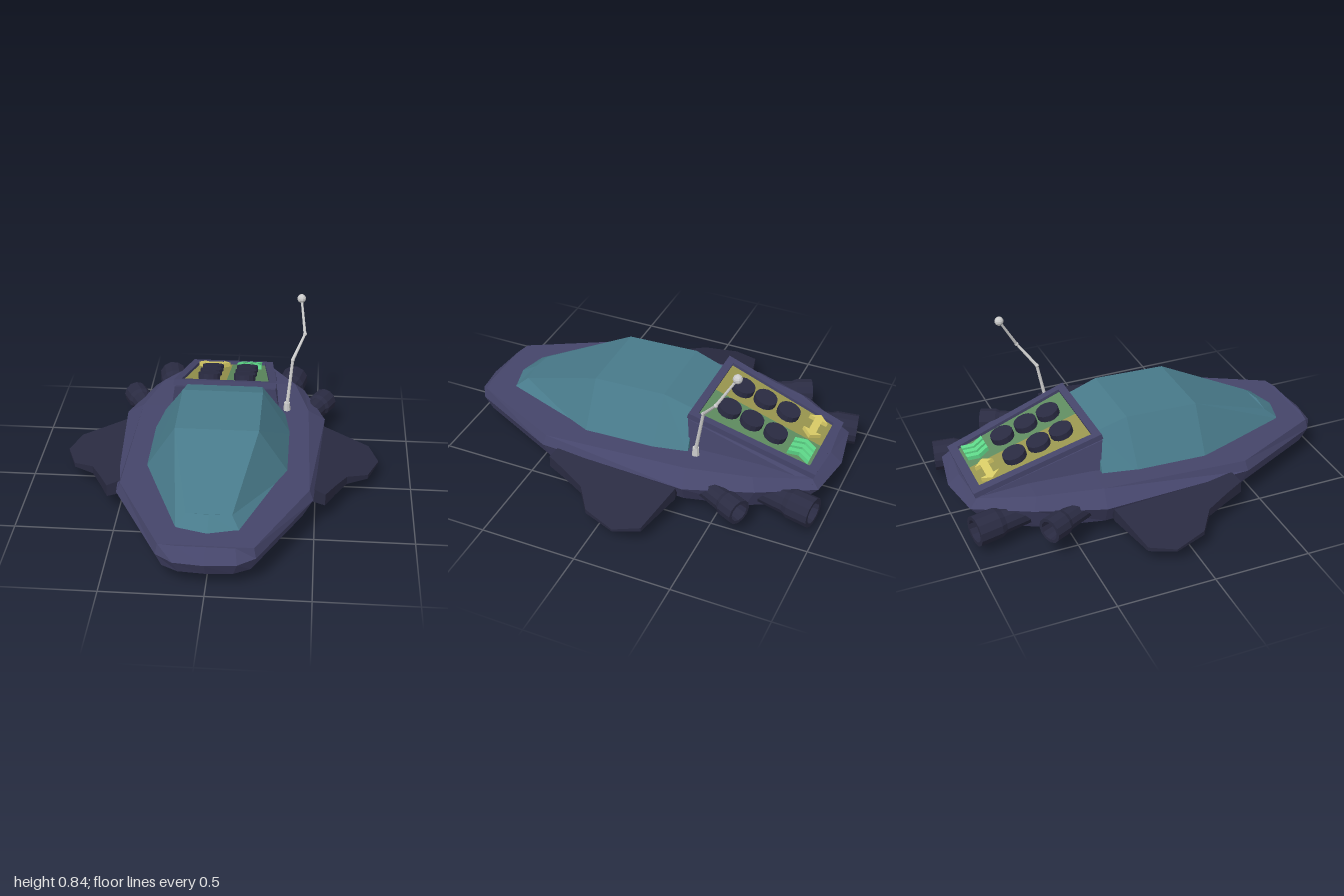
import * as THREE from 'three';

const mat = (color) => new THREE.MeshStandardMaterial({ color, flatShading: true });
const M = {
  hull: mat(0x45456a), dark: mat(0x2a2b42), glass: mat(0x487a8a), yellow: mat(0x99964f),
  green: mat(0x5f8c60), arrow: mat(0xd9cc66), chevron: mat(0x5fd98a), grey: mat(0xcccccc),
};

function add(parent, name, geo, material) {
  const mesh = new THREE.Mesh(geo, material);
  mesh.name = name;
  parent.add(mesh);
  return mesh;
}

// Solid from stacked half loops (front centre -> left side -> back centre), top loop first, mirrored in x
function skin(loops) {
  const pos = [];
  const flip = ([x, y, z]) => [-x, y, z];
  const quad = (a, b, c, d) => pos.push(...a, ...b, ...c, ...a, ...c, ...d);
  const cap = (l, up) => {
    for (let i = 0; i < l.length - 1; i++) {
      const q = [l[i], l[i + 1], flip(l[i + 1]), flip(l[i])];
      quad(...(up ? q : q.reverse()));
    }
  };
  cap(loops[0], true);
  for (let k = 0; k < loops.length - 1; k++) {
    const a = loops[k], b = loops[k + 1];
    for (let i = 0; i < a.length - 1; i++) {
      quad(a[i], b[i], b[i + 1], a[i + 1]);
      quad(flip(a[i + 1]), flip(b[i + 1]), flip(b[i]), flip(a[i]));
    }
  }
  cap(loops[loops.length - 1], false);
  const g = new THREE.BufferGeometry();
  g.setAttribute('position', new THREE.Float32BufferAttribute(pos, 3));
  g.computeVertexNormals();
  return g;
}

// Flat plate from an x/z outline, thickened upwards from y = 0
function plate(points, depth, hole) {
  const v = (l) => l.map(([x, z]) => new THREE.Vector2(x, -z));
  const shape = new THREE.Shape(v(points));
  if (hole) shape.holes.push(new THREE.Path(v(hole)));
  return new THREE.ExtrudeGeometry(shape, { depth, bevelEnabled: false }).rotateX(-Math.PI / 2);
}

// Places a y-aligned mesh at a with its axis pointing to b
function aim(mesh, a, b) {
  mesh.position.copy(a);
  mesh.quaternion.setFromUnitVectors(new THREE.Vector3(0, 1, 0), b.clone().sub(a).normalize());
}

function buildHull() {
  const deck = [[0, 0.225, 0.925], [0.14, 0.225, 0.925], [0.225, 0.222, 0.91], [0.47, 0.235, 0.42],
    [0.45, 0.26, -0.34], [0.37, 0.25, -0.66], [0.23, 0.22, -0.92], [0, 0.225, -0.94]];
  const belt = [[0, 0.165, 0.99], [0.15, 0.165, 0.975], [0.235, 0.17, 0.92], [0.49, 0.185, 0.43],
    [0.54, 0.2, -0.36], [0.42, 0.2, -0.69], [0.25, 0.18, -0.96], [0, 0.175, -1]];
  const chine = [[0, 0.085, 0.94], [0.13, 0.085, 0.93], [0.21, 0.088, 0.89], [0.44, 0.085, 0.42],
    [0.46, 0.075, -0.34], [0.37, 0.06, -0.63], [0.22, 0.03, -0.84], [0, 0.025, -0.86]];
  const keel = [[0, 0.078, 0.9], [0.09, 0.078, 0.88], [0.14, 0.076, 0.84], [0.22, 0.058, 0.4],
    [0.23, 0.027, -0.32], [0.22, 0.016, -0.6], [0.18, 0.006, -0.8], [0, 0, -0.83]];
  return skin([deck, belt, chine, keel]);
}

function buildCanopy() {
  const roof = [[0, 0.275, 0.73], [0.11, 0.27, 0.72], [0.21, 0.467, 0.26], [0.21, 0.48, -0.12],
    [0.2, 0.43, -0.28], [0, 0.43, -0.28]];
  const base = [[0, 0.215, 0.83], [0.155, 0.215, 0.79], [0.365, 0.225, 0.25], [0.365, 0.235, -0.12],
    [0.33, 0.25, -0.3], [0, 0.25, -0.3]];
  return skin([roof, base]);
}

function buildWing() {
  const g = plate([[0.45, -0.31], [0.53, -0.32], [0.78, -0.25], [0.83, -0.12], [0.77, 0.05],
    [0.66, 0.13], [0.6, 0.25], [0.55, 0.36], [0.45, 0.33]], 1);
  // Droop and thin towards the tip
  const p = g.attributes.position;
  for (let i = 0; i < p.count; i++) {
    const t = (p.getX(i) - 0.45) / 0.38;
    const half = 0.035 * (1 - t) + 0.006;
    p.setY(i, 0.165 - 0.08 * t + (p.getY(i) - 0.5) * 2 * half);
  }
  g.computeVertexNormals();
  return g;
}

function buildNozzle(r, len) {
  const profile = [[0, 0], [r * 0.8, 0], [r * 0.85, len * 0.6], [r, len * 0.68], [r, len],
    [r * 0.75, len], [r * 0.68, len - 0.06], [0, len - 0.06]];
  return new THREE.LatheGeometry(profile.map(([x, y]) => new THREE.Vector2(x, y)), 12);
}

function buildConsole() {
  const group = new THREE.Group();
  group.name = 'console';
  add(group, 'consoleBody', skin([
    [[0, 0.425, -0.275], [0.27, 0.415, -0.275], [0.225, 0.215, -0.92], [0, 0.22, -0.92]],
    [[0, 0.21, -0.3], [0.3, 0.21, -0.3], [0.25, 0.2, -0.93], [0, 0.2, -0.93]],
  ]), M.hull);

  // Sloping control board
  const board = new THREE.Group();
  board.name = 'controlBoard';
  board.position.set(0, 0.322, -0.6);
  board.rotation.x = -0.305;
  group.add(board);
  add(board, 'consoleRim', plate(
    [[-0.275, 0.345], [0.275, 0.345], [0.23, -0.34], [-0.23, -0.34]], 0.03,
    [[-0.235, 0.305], [0.235, 0.305], [0.187, -0.295], [-0.187, -0.295]]), M.hull);
  for (const [s, name, m] of [[-1, 'yellowPanel', M.yellow], [1, 'greenPanel', M.green]]) {
    add(board, name, plate([[0, 0.308], [s * 0.238, 0.308], [s * 0.19, -0.298], [0, -0.298]], 0.014), m);
    for (const z of [0.19, 0.063, -0.07]) {
      add(board, 'knob', new THREE.CylinderGeometry(0.06, 0.06, 0.035, 14), M.dark)
        .position.set(s * 0.097, 0.03, z);
    }
  }
  // Double-headed arrow
  add(board, 'arrow', plate([[-0.09, 0], [-0.05, 0.05], [-0.05, 0.02], [0.05, 0.02], [0.05, 0.05],
    [0.09, 0], [0.05, -0.05], [0.05, -0.02], [-0.05, -0.02], [-0.05, -0.05]], 0.025), M.arrow)
    .position.set(-0.1, 0.012, -0.222);
  // Three chevrons
  for (let i = 0; i < 3; i++) {
    add(board, 'chevron', plate([[-0.022, 0], [0.005, 0.058], [0.032, 0.058], [0.005, 0],
      [0.032, -0.058], [0.005, -0.058]], 0.025), M.chevron)
      .position.set(0.053 + i * 0.043, 0.012, -0.222);
  }
  return group;
}

function buildAntenna() {
  const group = new THREE.Group();
  group.name = 'antenna';
  const pts = [[0.33, 0.26, -0.34], [0.355, 0.54, -0.39], [0.415, 0.655, -0.475], [0.39, 0.82, -0.57]]
    .map((p) => new THREE.Vector3(...p));
  for (let i = 0; i < 3; i++) {
    const len = pts[i].distanceTo(pts[i + 1]);
    const r = 0.01 - i * 0.001;
    const rod = add(group, 'antennaRod',
      new THREE.CylinderGeometry(r - 0.002, r, len, 8).translate(0, len / 2, 0), M.grey);
    aim(rod, pts[i], pts[i + 1]);
    const ball = i === 2 ? 0.024 : 0.011;
    add(group, i === 2 ? 'antennaTip' : 'antennaJoint', new THREE.SphereGeometry(ball, 10, 7), M.grey)
      .position.copy(pts[i + 1]);
  }
  add(group, 'antennaBase', new THREE.CylinderGeometry(0.016, 0.02, 0.05, 8), M.grey)
    .position.set(0.332, 0.28, -0.345);
  return group;
}

export function createModel() {
  const model = new THREE.Group();
  model.name = 'spacecraft';
  add(model, 'hull', buildHull(), M.hull);
  add(model, 'canopy', buildCanopy(), M.glass);
  model.add(buildConsole(), buildAntenna());

  // Wings and engine nozzles on both sides
  for (const s of [1, -1]) {
    const side = new THREE.Group();
    side.name = s > 0 ? 'leftSide' : 'rightSide';
    side.scale.x = s;
    add(side, 'wing', buildWing(), M.dark);
    const nozzles = [
      ['rearNozzle', 0.078, [0.295, 0.14, -0.62], [0.36, 0.125, -0.975]],
      ['sideNozzle', 0.066, [0.425, 0.165, -0.42], [0.54, 0.16, -0.66]],
    ];
    for (const [name, r, from, to] of nozzles) {
      const a = new THREE.Vector3(...from), b = new THREE.Vector3(...to);
      aim(add(side, name, buildNozzle(r, a.distanceTo(b)), M.dark), a, b);
    }
    model.add(side);
  }
  return model;
}
